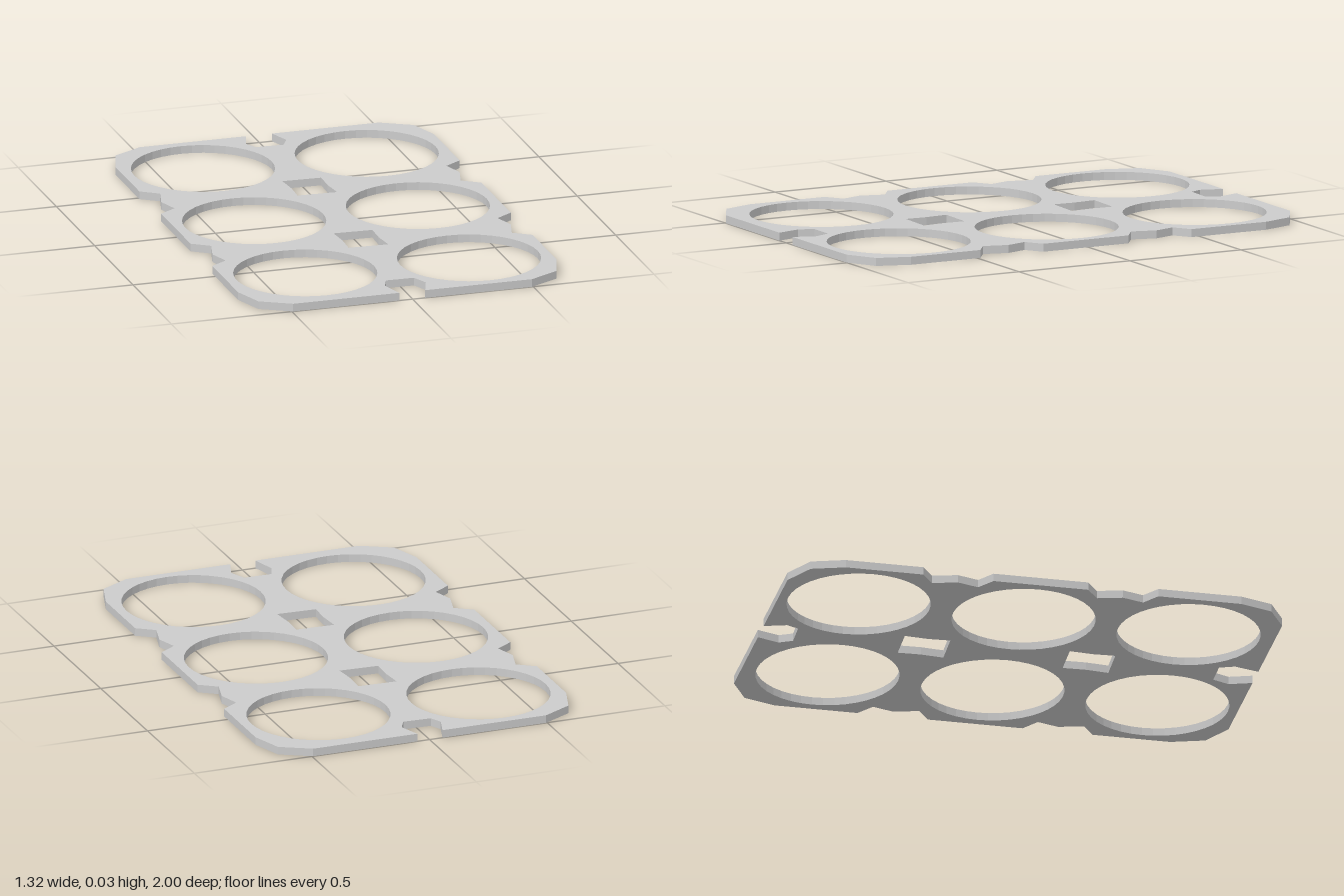
import * as THREE from 'three';

const THICKNESS = 0.032;
const HOLE_RADIUS = 0.285;
const ROW_PITCH = 0.667;

// Left edge in (x, z), running from back to front
const leftEdge = [
  [-0.495, -1], [-0.617, -0.933], [-0.66, -0.8], [-0.66, -0.487],
  [-0.59, -0.437], [-0.617, -0.337], [-0.59, -0.25], [-0.66, -0.203],
  [-0.66, 0.18], [-0.59, 0.23], [-0.617, 0.33], [-0.59, 0.417],
  [-0.66, 0.464], [-0.66, 0.8], [-0.617, 0.93], [-0.495, 1],
];
const frontNotch = [[-0.055, 1], [-0.083, 0.9], [-0.06, 0.84], [0.055, 0.842], [0.083, 0.91], [0.052, 1]];
const backNotch = [[0.052, -1], [0.083, -0.91], [0.055, -0.857], [-0.06, -0.862], [-0.083, -0.91], [-0.055, -1]];

// Window between rows, relative to its centre
const windowOutline = [
  [-0.084, -0.097], [0.075, -0.091], [0.072, 0.002],
  [0.082, 0.095], [-0.08, 0.088], [-0.076, -0.002],
];

// Shapes are drawn in (x, -z) and laid flat afterwards
const toPoints = (list, dz = 0) => list.map(([x, z]) => new THREE.Vector2(x, -(z + dz)));

export function createModel() {
  const group = new THREE.Group();
  group.name = 'sixHoleCarrier';

  // The right edge is the left edge turned by half a turn
  const rightEdge = leftEdge.map(([x, z]) => [-x, -z]);
  const plate = new THREE.Shape(toPoints([...leftEdge, ...frontNotch, ...rightEdge, ...backNotch]));

  // Six round holes, the two columns slightly staggered
  for (const side of [-1, 1]) {
    for (const row of [-1, 0, 1]) {
      const hole = new THREE.Path();
      hole.absarc(side * 0.336, -(row * ROW_PITCH + side * 0.0105), HOLE_RADIUS, 0, Math.PI * 2, true);
      plate.holes.push(hole);
    }
  }

  // Two finger windows along the middle
  for (const side of [-1, 1]) {
    plate.holes.push(new THREE.Path(toPoints(windowOutline, side * ROW_PITCH / 2 - 0.005)));
  }

  const geometry = new THREE.ExtrudeGeometry(plate, {
    depth: THICKNESS, bevelEnabled: false, curveSegments: 20,
  });
  geometry.rotateX(-Math.PI / 2);

  const mesh = new THREE.Mesh(geometry, new THREE.MeshStandardMaterial({ color: 0xcccccc, flatShading: true }));
  mesh.name = 'carrierPlate';
  group.add(mesh);
  return group;
}
